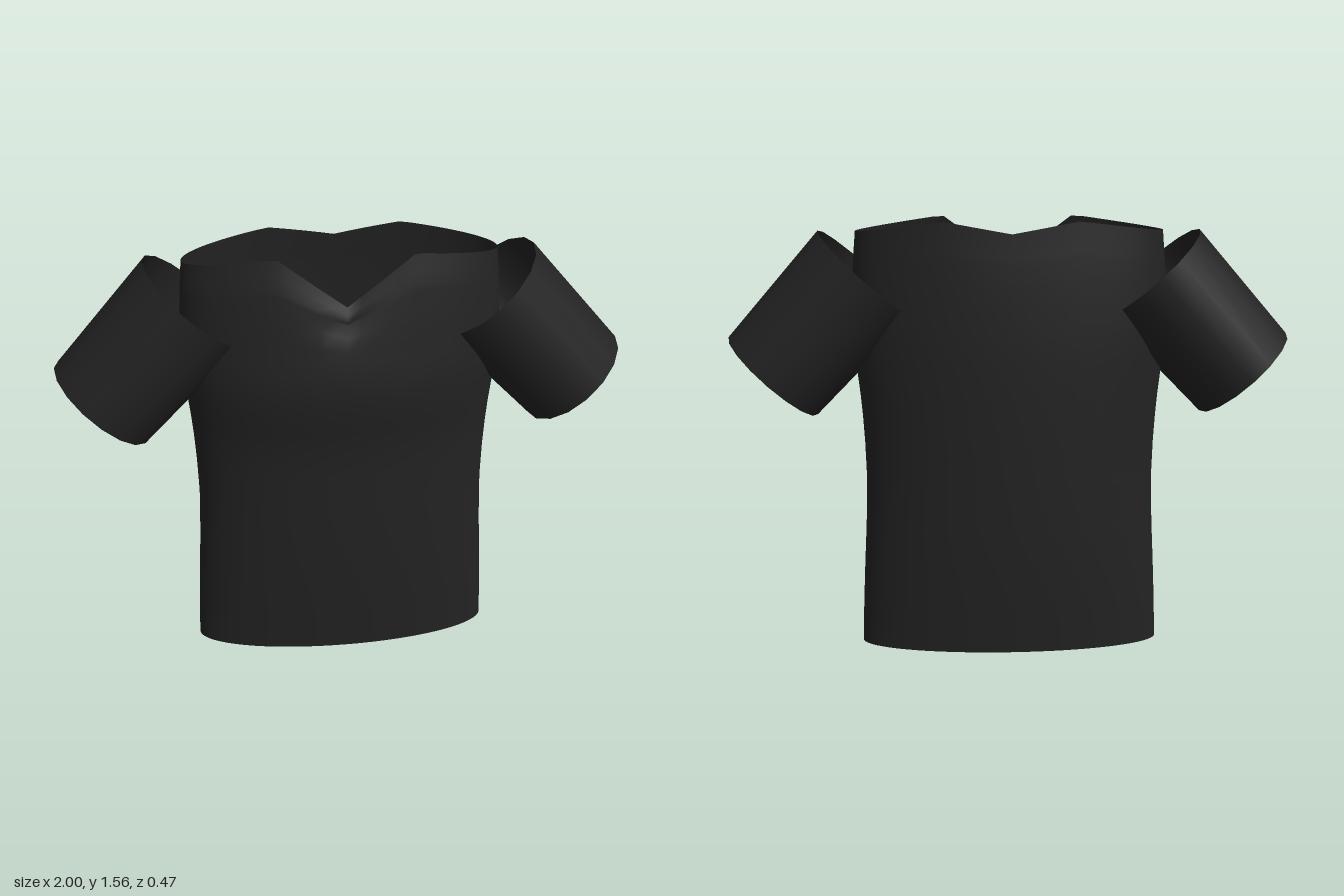
import * as THREE from 'three';

const SEGMENTS = 72;

// Body profile rows: height, half width, front depth, back depth
const BODY = [
  [0, 0.545, 0.165, 0.17], [0.15, 0.54, 0.176, 0.181], [0.3, 0.533, 0.186, 0.191],
  [0.45, 0.525, 0.193, 0.197], [0.62, 0.52, 0.198, 0.201], [0.75, 0.524, 0.199, 0.204],
  [0.85, 0.53, 0.203, 0.206], [0.93, 0.537, 0.216, 0.207], [1.0, 0.545, 0.228, 0.208],
  [1.08, 0.554, 0.235, 0.208], [1.15, 0.56, 0.231, 0.207], [1.2, 0.562, 0.222, 0.205],
];
// Upper rows run from the chest to the rim: fraction, half width, front, back, crease depth
const YOKE = [
  [0.2, 0.561, 0.215, 0.203, 0], [0.45, 0.558, 0.203, 0.199, 0], [0.66, 0.554, 0.191, 0.194, 0.016],
  [0.72, 0.553, 0.188, 0.192, 0], [0.85, 0.549, 0.176, 0.188, 0], [1, 0.545, 0.163, 0.184, 0],
];

// Rim height: sloping shoulders, V neck in front, shallow dip behind
function rimHeight(x, front) {
  const d = Math.abs(x), peak = 0.235;
  if (d > peak) return 1.557 - 0.042 * (d - peak) / (0.545 - peak);
  return THREE.MathUtils.lerp(front ? 1.38 : 1.515, 1.557, d / peak);
}

function bodyGeometry() {
  const positions = [], index = [];
  const addRow = (halfWidth, front, back, height, crease = 0) => {
    for (let i = 0; i < SEGMENTS; i++) {
      const angle = i / SEGMENTS * Math.PI * 2;
      const x = halfWidth * Math.cos(angle), s = Math.sin(angle);
      const fold = s > 0 ? crease * Math.max(0, 1 - Math.abs(x) / 0.11) : 0;
      positions.push(x, height(x, s > 0), s * (s > 0 ? front : back) - fold);
    }
  };
  for (const [y, w, f, b] of BODY) addRow(w, f, b, () => y);
  for (const [t, w, f, b, crease] of YOKE) {
    addRow(w, f, b, (x, front) => THREE.MathUtils.lerp(1.2, rimHeight(x, front), t), crease);
  }
  const rows = BODY.length + YOKE.length;
  for (let r = 0; r < rows - 1; r++) {
    for (let i = 0; i < SEGMENTS; i++) {
      const j = (i + 1) % SEGMENTS;
      const a = r * SEGMENTS + i, b = r * SEGMENTS + j;
      const c = a + SEGMENTS, d = b + SEGMENTS;
      index.push(a, c, b, b, c, d);
    }
  }
  const geometry = new THREE.BufferGeometry();
  geometry.setAttribute('position', new THREE.Float32BufferAttribute(positions, 3));
  geometry.setIndex(index);
  geometry.computeVertexNormals();
  return geometry;
}

export function createModel() {
  const fabric = new THREE.MeshStandardMaterial({ color: 0x232323, side: THREE.DoubleSide });
  fabric.name = 'black fabric';
  const shirt = new THREE.Group();
  shirt.name = 'shirt';

  // Open body
  const body = new THREE.Mesh(bodyGeometry(), fabric);
  body.name = 'body';
  shirt.add(body);

  // Open tapered sleeves, angled down and outward
  const sleeveGeometry = new THREE.CylinderGeometry(0.224, 0.209, 0.495, 16, 1, true);
  for (const side of [1, -1]) {
    const sleeve = new THREE.Mesh(sleeveGeometry, fabric);
    sleeve.name = side > 0 ? 'leftSleeve' : 'rightSleeve';
    sleeve.position.set(side * 0.678, 1.182, -0.004);
    sleeve.rotation.z = side * 0.743;
    sleeve.scale.z = 1.01;
    shirt.add(sleeve);
  }
  return shirt;
}
